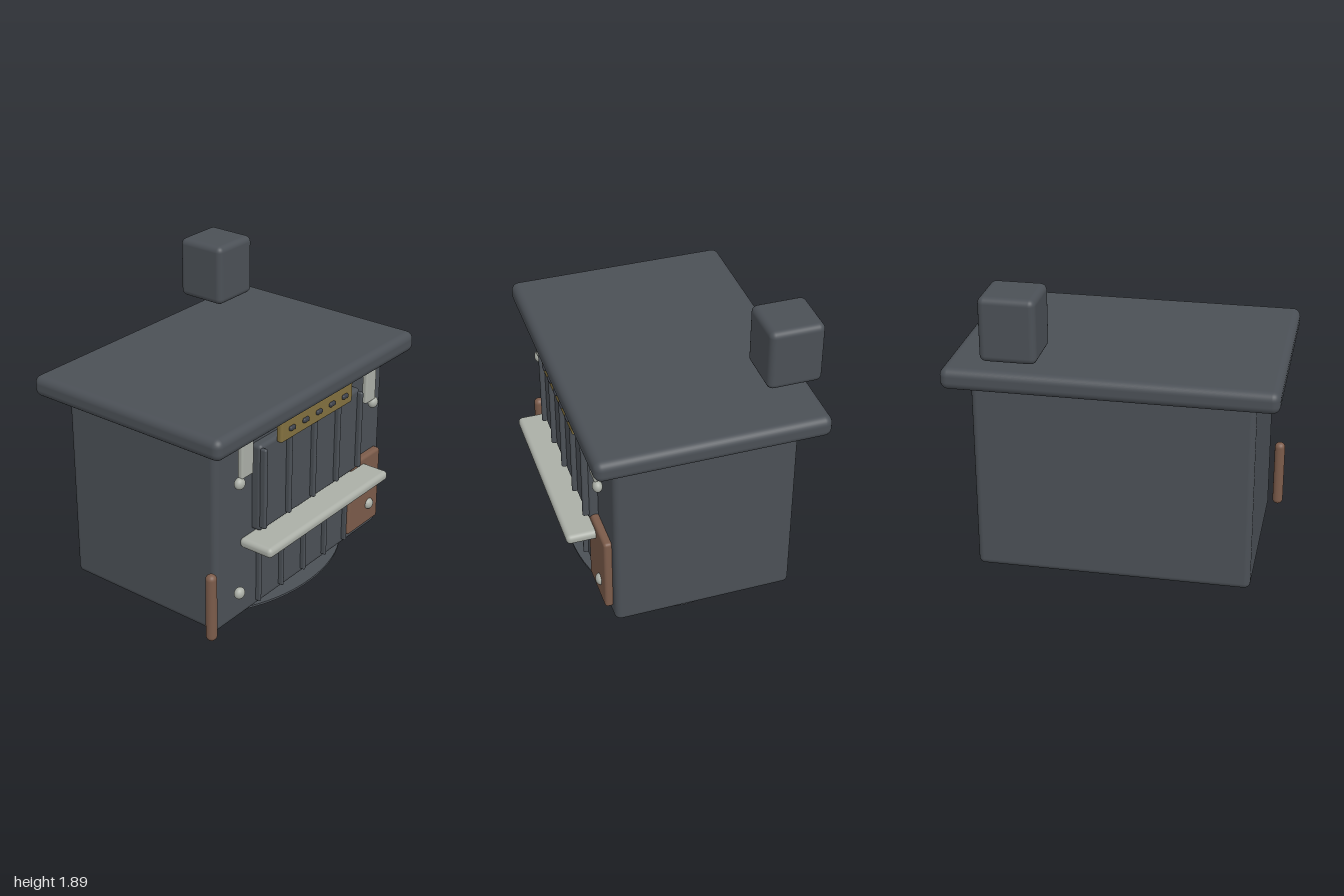
import * as THREE from 'three';
import { RoundedBoxGeometry } from 'three/addons/geometries/RoundedBoxGeometry.js';

const material = (name, color) => {
  const m = new THREE.MeshStandardMaterial({ color });
  m.name = name;
  return m;
};

export function createModel() {
  const iron = material('charcoal iron', 0x4b5056);
  const wood = material('brown wood', 0x7b5b4a);
  const brass = material('dull brass', 0x83713f);
  const steel = material('pale steel', 0xabafa7);
  const slot = material('dark slot', 0x3c4048);

  const group = new THREE.Group();
  group.name = 'stove';

  const add = (name, geometry, mat, x, y, z) => {
    const mesh = new THREE.Mesh(geometry, mat);
    mesh.name = name;
    mesh.position.set(x, y, z);
    group.add(mesh);
    return mesh;
  };

  // Rounded box given by its extents on each axis
  const box = (name, mat, [x0, x1], [y0, y1], [z0, z1], radius) => {
    const w = x1 - x0, h = y1 - y0, d = z1 - z0;
    const r = Math.min(radius, Math.min(w, h, d) * 0.49);
    return add(name, new RoundedBoxGeometry(w, h, d, 4, r), mat,
      (x0 + x1) / 2, (y0 + y1) / 2, (z0 + z1) / 2);
  };

  // Main masses
  box('body', iron, [-0.855, 0.855], [0.045, 1.3], [-0.595, 0.543], 0.04);
  box('topSlab', iron, [-1, 1], [1.29, 1.425], [-0.742, 0.685], 0.05);
  box('chimney', iron, [0.4, 0.74], [1.5, 1.895], [-0.77, -0.43], 0.04);

  // Oval base plate
  const base = add('basePlate', new THREE.CylinderGeometry(1, 1, 0.014, 64), iron, 0.02, 0.009, 0.077);
  base.scale.set(0.78, 1, 0.525);

  // Upper door with vertical ribs
  box('door', iron, [-0.513, 0.51], [0.61, 1.183], [0.52, 0.605], 0.025);
  for (const x of [-0.494, -0.25, 0, 0.25, 0.49])
    box('doorRib', iron, [x - 0.014, x + 0.014], [0.635, 1.165], [0.59, 0.637], 0.012);

  // Lower ribs
  for (const x of [-0.46, -0.23, 0, 0.228, 0.456])
    box('lowerRib', iron, [x - 0.01, x + 0.01], [0.085, 0.432], [0.53, 0.575], 0.009);

  // Control plate with slots
  box('controlPlate', brass, [-0.37, 0.36], [1.155, 1.295], [0.605, 0.647], 0.015);
  for (let i = -2; i <= 2; i++)
    box('controlSlot', slot, [i * 0.135 - 0.03, i * 0.135 + 0.027], [1.21, 1.24], [0.635, 0.663], 0.012);

  // Hanging brackets and round knobs
  for (const x of [-0.635, 0.63])
    box('bracket', steel, [x - 0.055, x + 0.055], [1.04, 1.3], [0.572, 0.608], 0.012);
  for (const x of [-0.69, 0.683])
    for (const y of [1.013, 0.27]) {
      const knob = add('knob', new THREE.SphereGeometry(0.038, 24, 16), steel, x, y, 0.59);
      knob.scale.z = 0.8;
    }

  // Front shelf
  box('shelf', steel, [-0.63, 0.623], [0.537, 0.601], [0.535, 0.772], 0.028);

  // Wooden side panel and free-standing handle
  box('woodPanel', wood, [0.455, 0.797], [0.127, 0.643], [0.535, 0.592], 0.02);
  box('woodHandle', wood, [-0.95, -0.882], [0.045, 0.5], [0.525, 0.593], 0.033);

  return group;
}
